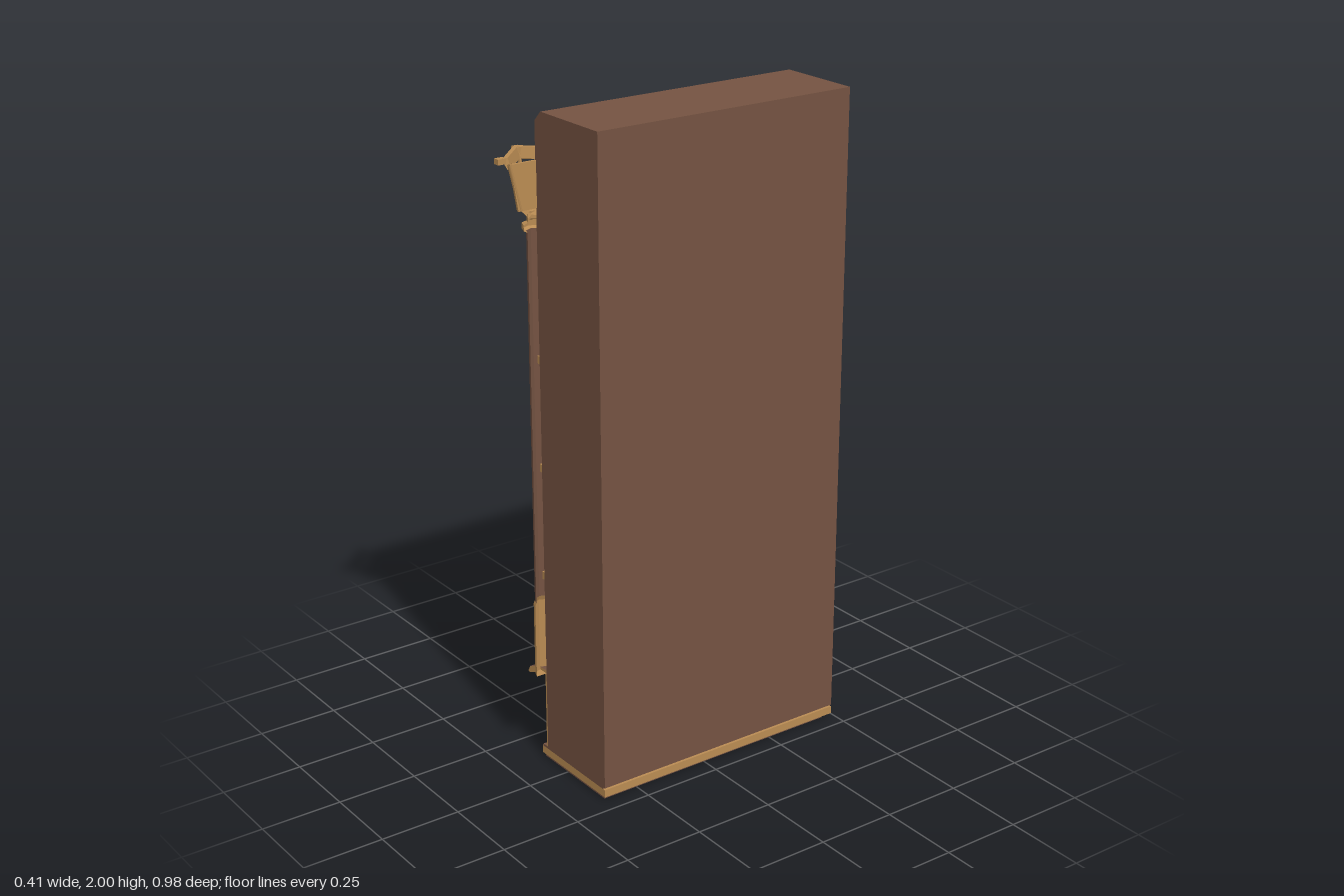
import * as THREE from 'three';

const mat = (name, color) => {
  const m = new THREE.MeshStandardMaterial({ color, side: THREE.DoubleSide });
  m.name = name;
  return m;
};

// Facade plane, case extents along z and the facade's centre line
const FX = -0.1, Z0 = -0.49, Z1 = 0.37, ZC = -0.06, LEN = Z1 - Z0;
const RECESS = 0.11, HALF = 0.41;

export function createModel() {
  const brown = mat('brown wood', 0x755342);
  const gold = mat('gold trim', 0xba8c53);
  const grey = mat('grey panel', 0x6c666b);
  const root = new THREE.Group();
  root.name = 'cabinet';

  const add = (name, geo, material, parent = root) => {
    const m = new THREE.Mesh(geo, material);
    m.name = name;
    parent.add(m);
    return m;
  };
  // Box given by its minimum and maximum corners
  const box = (name, a, b, material) => {
    const g = new THREE.BoxGeometry(b[0] - a[0], b[1] - a[1], b[2] - a[2]);
    g.translate((a[0] + b[0]) / 2, (a[1] + b[1]) / 2, (a[2] + b[2]) / 2);
    return add(name, g, material);
  };
  const shapeOf = pts => new THREE.Shape(pts.map(p => new THREE.Vector2(...p)));
  // Outline in (x, y) swept along the whole length of the case
  const alongZ = pts => new THREE.ExtrudeGeometry(shapeOf(pts), { depth: LEN, bevelEnabled: false }).translate(0, 0, Z0);
  // Rounded moulding along (z offset, y) points lying on the facade
  const moulding = (name, pts, r = 0.01) => {
    const curve = new THREE.CatmullRomCurve3(pts.map(([z, y]) => new THREE.Vector3(FX, y, ZC + z)));
    add(name, new THREE.TubeGeometry(curve, 28, r, 6), gold);
  };

  // S-shaped lower corner of an opening, from the outer edge inwards
  const corner = b => [[HALF, b + 0.11], [0.385, b + 0.07], [0.34, b + 0.05], [0.3, b + 0.035], [0.25, b + 0.003], [0.21, b]];
  const mirror = pts => pts.map(([z, y]) => [-z, y]);
  const arch = [[-HALF, 1.57], [-0.33, 1.62], [-0.22, 1.7], [-0.13, 1.75], [0, 1.765], [0.13, 1.75], [0.22, 1.7], [0.33, 1.62], [HALF, 1.57]];
  const openings = [
    { b: 1.42, top: arch },
    ...[[1.1, 1.265], [0.765, 0.935], [0.425, 0.595], [0.09, 0.235]].map(([b, t]) => ({ b, top: [[-HALF, t], [HALF, t]] })),
  ];

  // Facade slab with the recessed openings cut through it
  const facade = shapeOf([[Z0, 0.04], [Z1, 0.04], [Z1, 1.97], [Z0, 1.97]]);
  for (const { b, top } of openings) {
    const outline = [...top, ...corner(b), ...mirror(corner(b)).reverse()];
    facade.holes.push(new THREE.Path(outline.map(([z, y]) => new THREE.Vector2(ZC + z, y))));
  }
  const facadeGeo = new THREE.ExtrudeGeometry(facade, { depth: RECESS, bevelEnabled: false });
  add('facade', facadeGeo.rotateY(-Math.PI / 2).translate(FX + RECESS, 0, 0), brown);

  // Solid rear of the case and the chamfered top
  box('caseBody', [FX + RECESS, 0.04, Z0], [0.2, 1.97, Z1], brown);
  add('caseTop', alongZ([[FX, 1.97], [0.2, 1.97], [0.2, 2], [-0.07, 2]]), brown);

  // Plinth
  box('plinthFoot', [-0.12, 0, -0.46], [0.19, 0.012, Z1 - 0.005], brown);
  box('plinthEdge', [-0.13, 0.01, Z0], [0.2, 0.034, Z1], gold);
  box('plinthTop', [-0.125, 0.034, Z0], [0.19, 0.041, Z1], brown);

  // Grey panels behind the openings and gold mouldings around them
  openings.forEach(({ b, top }, i) => {
    const t = i === 0 ? 1.77 : top[0][1];
    box('recessPanel', [FX + RECESS - 0.006, b - 0.005, ZC - HALF], [FX + RECESS - 0.001, t, ZC + HALF], grey);
    moulding('cornerMoulding', corner(b));
    moulding('cornerMoulding', mirror(corner(b)));
  });
  moulding('archMoulding', arch, 0.012);
  for (const y of [1.82, 1.28, 0.95, 0.61]) {
    box('trimStrip', [FX - 0.01, y - 0.012, Z0], [FX, y + 0.012, Z1], gold);
  }

  // Row of oval ornaments under the top
  for (let i = -2; i <= 2; i++) {
    const g = new THREE.CylinderGeometry(1, 1, 0.006, 16).rotateZ(Math.PI / 2).scale(1, 0.033, 0.056);
    add('ovalOrnament', g.translate(FX - 0.001, 1.905, ZC + i * 0.185), gold);
  }

  // Sloping ledge with gold ends, dentils and corner strips beneath
  add('ledge', alongZ([[FX, 0.3], [-0.135, 0.298], [-0.19, 0.277], [-0.2, 0.258], [-0.192, 0.255], [-0.135, 0.28], [FX, 0.285]]), [gold, brown]);
  for (let i = 0; i < 20; i++) {
    const z = ZC - 0.39 + i * 0.041;
    box('dentil', [FX - 0.008, 0.228, z - 0.013], [FX, 0.248, z + 0.013], gold);
  }
  for (const z of [Z0, Z1 - 0.018]) box('cornerStrip', [FX - 0.006, 0.041, z], [FX, 0.285, z + 0.018], gold);

  // Half-round parts standing against the facade edge
  const post = new THREE.Group();
  post.name = 'lampPost';
  post.position.set(FX, 0, Z1);
  root.add(post);
  const half = (name, pts, sides, material) => {
    const g = new THREE.LatheGeometry(pts.map(p => new THREE.Vector2(...p)), sides, Math.PI, Math.PI).toNonIndexed();
    g.computeVertexNormals();
    return add(name, g, material, post);
  };
  half('postBase', [[0, 0.29], [0.034, 0.29], [0.034, 0.52], [0.028, 0.535]], 4, gold);
  half('postShaft', [[0.03, 0.53], [0.03, 1.66]], 4, brown);
  half('postCapital', [[0.03, 1.66], [0.042, 1.665], [0.042, 1.682], [0.028, 1.688], [0.028, 1.71]], 4, gold);

  // Open lantern: cup, flared rim, corner bars and backing plate
  half('lanternCup', [[0.025, 1.7], [0.04, 1.715], [0.055, 1.73], [0, 1.732]], 2, gold);
  half('lanternRim', [[0.078, 1.848], [0.088, 1.845], [0.105, 1.872], [0.105, 1.88], [0.088, 1.88], [0.078, 1.848]], 2, gold);
  const bar = (name, a, b, r) => {
    const path = new THREE.LineCurve3(new THREE.Vector3(...a), new THREE.Vector3(...b));
    add(name, new THREE.TubeGeometry(path, 1, r, 4), gold, post);
  };
  for (const [x, z] of [[-1, 0], [0, 1], [0, -1]]) {
    bar('lanternBar', [x * 0.05, 1.725, z * 0.05], [x * 0.083, 1.86, z * 0.083], 0.007);
    // Pointed ear on each rim corner
    const ear = add('rimEar', new THREE.BoxGeometry(x ? 0.025 : 0.02, 0.016, x ? 0.02 : 0.025), gold, post);
    ear.position.set(x ? -0.092 : -0.01, 1.871, z * 0.106);
  }
  const plate = new THREE.ExtrudeGeometry(shapeOf([[-0.05, 1.725], [0.06, 1.725], [0.083, 1.86], [-0.083, 1.86]]), { depth: 0.008, bevelEnabled: false });
  add('lanternPlate', plate.rotateY(-Math.PI / 2).translate(0.004, 0, 0), gold, post);

  return root;
}
